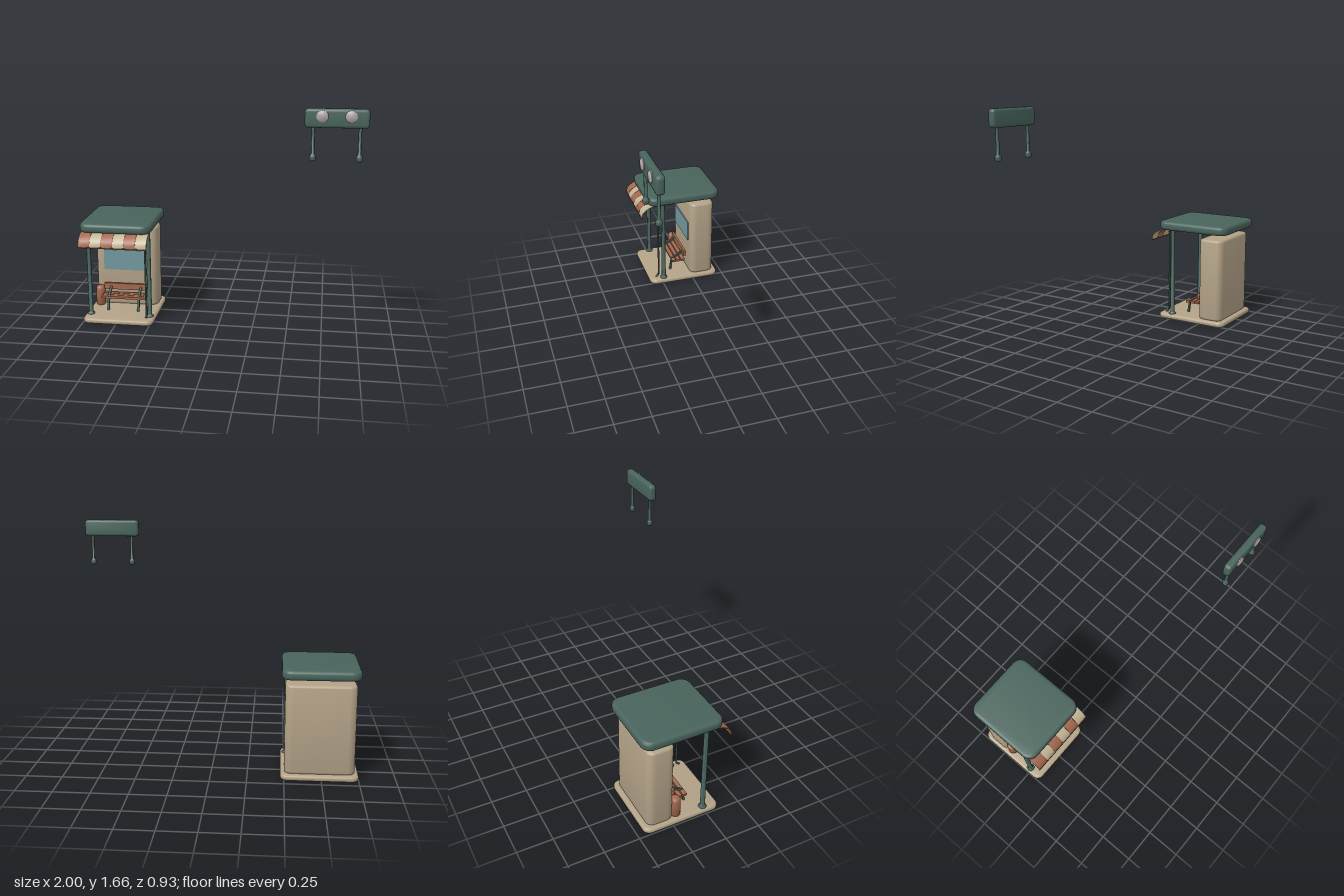
import * as THREE from 'three';
import { toCreasedNormals } from 'three/addons/utils/BufferGeometryUtils.js';

const mat = (name, color) => Object.assign(new THREE.MeshStandardMaterial({ color }), { name });

export function createModel() {
  const green = mat('dark green', 0x48645c);
  const beige = mat('sandstone', 0xb3a287);
  const rust = mat('rust brown', 0xa3684f);
  const cream = mat('awning cream', 0xc2b595);
  const maroon = mat('awning trim', 0x74402f);
  const glass = mat('glass blue', 0x7399a0);
  const lampMat = mat('lamp lens', 0xb3a8a8);

  const root = new THREE.Group();
  root.name = 'shelterAndSign';
  const CX = -0.737; // middle of the shelter
  const group = (name) => {
    const g = new THREE.Group();
    g.name = name;
    root.add(g);
    return g;
  };
  const add = (parent, name, geo, material, x = 0, y = 0, z = 0) => {
    const m = new THREE.Mesh(geo, material);
    m.name = name;
    m.position.set(x, y, z);
    parent.add(m);
    return m;
  };

  // rounded rectangle w x d, extruded up by h, with bevelled rims; stands on y = 0
  const slab = (w, h, d, r, bevel, crease = 0.6) => {
    const a = w / 2 - bevel, b = d / 2 - bevel, k = r - bevel;
    const s = new THREE.Shape();
    s.absarc(a - k, b - k, k, 0, Math.PI / 2);
    s.absarc(-a + k, b - k, k, Math.PI / 2, Math.PI);
    s.absarc(-a + k, -b + k, k, Math.PI, Math.PI * 1.5);
    s.absarc(a - k, -b + k, k, Math.PI * 1.5, Math.PI * 2);
    const geo = new THREE.ExtrudeGeometry(s, {
      depth: h - 2 * bevel, bevelSize: bevel, bevelThickness: bevel, bevelSegments: 3, curveSegments: 6,
    });
    geo.translate(0, 0, bevel).rotateX(-Math.PI / 2);
    return toCreasedNormals(geo, crease);
  };
  const lathe = (pts, n) =>
    toCreasedNormals(new THREE.LatheGeometry(pts.map((p) => new THREE.Vector2(...p)), n), 0.8);
  const box = (w, h, d) => new THREE.BoxGeometry(w, h, d);

  // floor, back cabin and roof
  const shelter = group('shelter');
  add(shelter, 'floorSlab', slab(0.525, 0.04, 0.555, 0.05, 0.016), beige, CX, 0, -0.177);
  add(shelter, 'backCabin', slab(0.475, 0.62, 0.19, 0.05, 0.018), beige, CX, 0.036, -0.328);
  add(shelter, 'roof', slab(0.525, 0.066, 0.573, 0.07, 0.022), green, CX, 0.698, -0.177);
  add(shelter, 'window', box(0.345, 0.158, 0.009), glass, CX, 0.395, -0.23);

  // front posts with flared feet
  const postProfile = [[0, 0], [0.028, 0], [0.028, 0.006], [0.017, 0.018], [0.016, 0.67], [0, 0.67]];
  for (const s of [-1, 1]) {
    add(shelter, 'roofPost', lathe(postProfile, 12), green, CX + s * 0.224, 0.038, -0.01);
  }

  // rain pipe
  const pipe = new THREE.CatmullRomCurve3([
    [0, 0.705, 0.028], [0, 0.4, 0.028], [0, 0.085, 0.028], [0, 0.06, 0.032], [0, 0.045, 0.052],
  ].map((p) => new THREE.Vector3(...p)), false, 'centripetal');
  add(shelter, 'rainPipe', new THREE.TubeGeometry(pipe, 40, 0.007, 8), green, -0.53, 0, 0);

  // striped awning: a thin curved sheet cut into six strips
  const awning = group('awning');
  const curve = [[0.075, 0.7], [0.105, 0.69], [0.132, 0.675], [0.155, 0.654], [0.164, 0.633], [0.167, 0.608]];
  const strip = (width, t) => {
    const inner = curve.map(([z, y]) => [z - t, y - t]).reverse();
    const s = new THREE.Shape([...curve, ...inner].map((p) => new THREE.Vector2(...p)));
    const geo = new THREE.ExtrudeGeometry(s, { depth: width, bevelEnabled: false });
    geo.translate(0, 0, -width / 2).rotateY(-Math.PI / 2);
    return toCreasedNormals(geo, 0.6);
  };
  const stripeW = 0.495 / 6;
  for (let i = 0; i < 6; i++) {
    const x = CX + (i - 2.5) * stripeW;
    add(awning, 'awningStripe', strip(stripeW, 0.004), i % 2 ? cream : rust, x);
    if (i > 0) add(awning, 'awningSeam', strip(0.003, 0.006), maroon, x - stripeW / 2, 0.001, 0.001);
  }
  add(awning, 'awningHem', box(0.497, 0.009, 0.008), maroon, CX, 0.61, 0.165);

  // bench: three seat slats, a back rail and two bent brackets
  const bench = group('bench');
  for (let i = 0; i < 3; i++) {
    add(bench, 'seatSlat', box(0.335, 0.017, 0.03), rust, CX, 0.136, -0.115 - i * 0.037);
  }
  add(bench, 'backRail', box(0.335, 0.048, 0.018), rust, CX, 0.192, -0.204);
  const bar = (name, x, y0, z0, y1, z1) => {
    const m = add(bench, name, box(0.016, Math.hypot(y1 - y0, z1 - z0), 0.014), green, x, (y0 + y1) / 2, (z0 + z1) / 2);
    m.rotation.x = Math.atan2(z1 - z0, y1 - y0);
  };
  for (const x of [-0.85, -0.62]) {
    bar('benchLeg', x, 0.038, -0.094, 0.145, -0.11);
    bar('benchArm', x, 0.138, -0.107, 0.196, -0.207);
    bar('seatSupport', x, 0.124, -0.105, 0.124, -0.205);
  }

  // litter bin beside the bench
  add(shelter, 'litterBin',
    lathe([[0, 0], [0.03, 0], [0.035, 0.006], [0.035, 0.13], [0.03, 0.145], [0.018, 0.152], [0, 0.153]], 16),
    rust, -0.939, 0.039, -0.207);

  // domed lamp, facing +y, with a scalloped rim
  const lamp = (r, h) => lathe([[0, 0], [r, 0], [r, h * 0.4], [r * 0.75, h * 0.85], [0, h]], 14);
  for (const s of [-1, 1]) {
    add(shelter, 'ceilingLamp', lamp(0.038, 0.014), lampMat, CX + s * 0.14, 0.7, -0.036).rotation.x = Math.PI;
  }

  // raised sign on two short posts with ball feet
  const sign = group('sign');
  const board = slab(0.4, 0.053, 0.12, 0.024, 0.018).rotateX(Math.PI / 2);
  add(sign, 'signBoard', board, green, 0.8, 1.603, 0.395);
  const foot = [[0, 0], [0.013, 0], [0.021, 0.01], [0.021, 0.031], [0.013, 0.042], [0.011, 0.046], [0.011, 0.23], [0, 0.23]];
  for (const s of [-1, 1]) {
    add(sign, 'signPost', lathe(foot, 10), green, 0.8 + s * 0.145, 1.332, 0.421);
    add(sign, 'signLamp', lamp(0.038, 0.017), lampMat, 0.798 + s * 0.089, 1.617, 0.446).rotation.x = Math.PI / 2;
  }
  return root;
}
